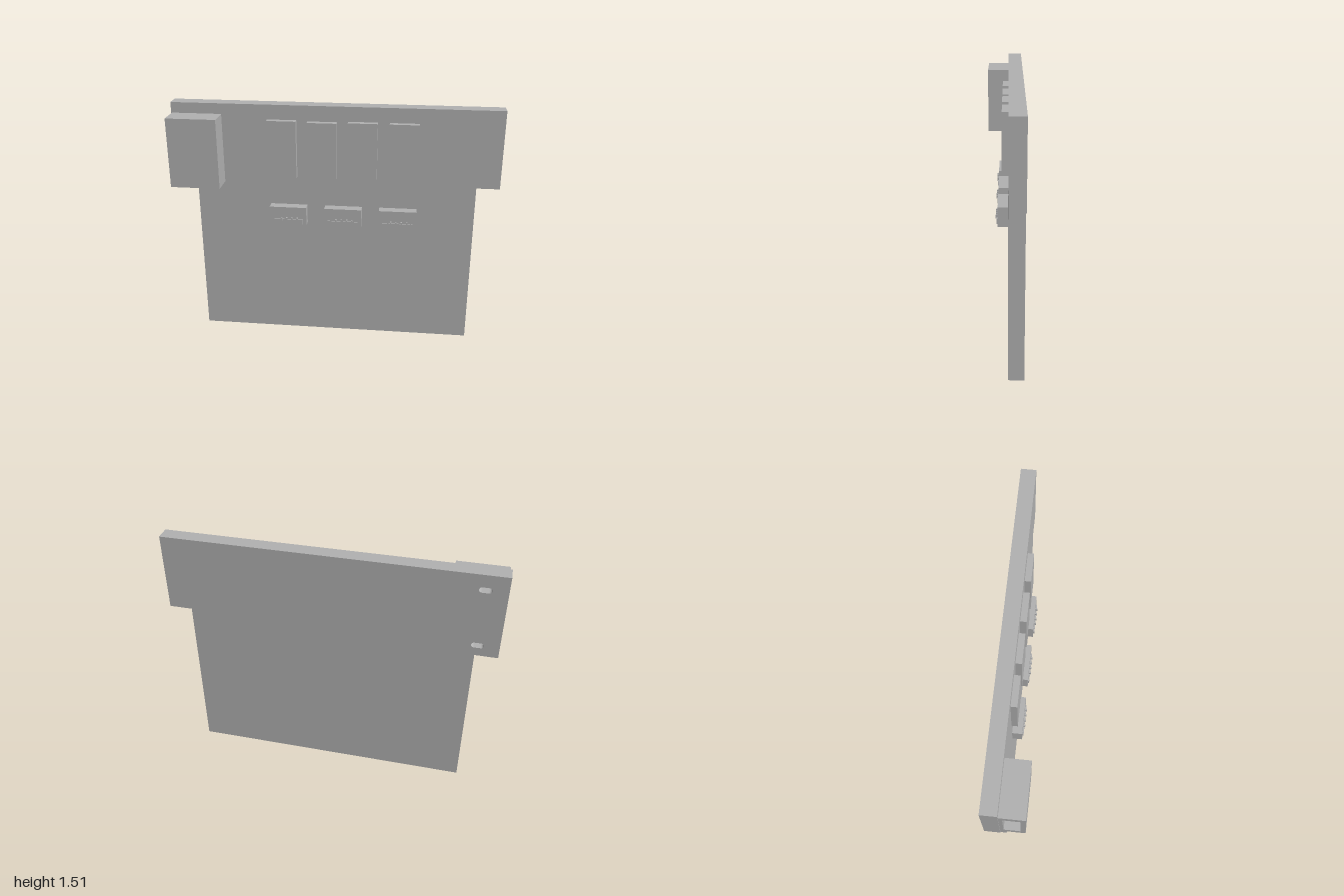
import * as THREE from 'three';

export function createModel() {
  const model = new THREE.Group();
  const grey = new THREE.MeshStandardMaterial({ color: 0xb0b0b0 });
  grey.name = 'plain grey';

  const add = (name, geometry, parent = model) => {
    const mesh = new THREE.Mesh(geometry, grey);
    mesh.name = name;
    parent.add(mesh);
    return mesh;
  };
  // Box given by its limits on each axis
  const block = (name, x0, x1, y0, y1, z0, z1, parent) =>
    add(name, new THREE.BoxGeometry(x1 - x0, y1 - y0, z1 - z0), parent)
      .position.set((x0 + x1) / 2, (y0 + y1) / 2, (z0 + z1) / 2);

  const back = -0.115, face = -0.025;

  // Board: T-shaped plate with two mounting slots
  const outline = new THREE.Shape([
    [-0.865, 0], [0.86, 0], [0.86, 1.035], [1, 1.035],
    [1, 1.515], [-1, 1.515], [-1, 0.98], [-0.865, 0.98],
  ].map(([x, y]) => new THREE.Vector2(x, y)));
  for (const y of [1.05, 1.42]) {
    const slot = new THREE.Path();
    const r = 0.017, half = 0.02, cx = -0.875;
    slot.absarc(cx + half, y, r, -Math.PI / 2, Math.PI / 2);
    slot.absarc(cx - half, y, r, Math.PI / 2, Math.PI * 1.5);
    slot.closePath();
    outline.holes.push(slot);
  }
  const board = new THREE.ExtrudeGeometry(outline, { depth: face - back, bevelEnabled: false, curveSegments: 8 });
  add('board', board).position.z = back;

  // Port housing: hollow box open towards the board's side edge
  const port = new THREE.Group();
  port.name = 'portHousing';
  model.add(port);
  const px0 = -0.995, px1 = -0.69, py0 = 1.02, py1 = 1.45, pz1 = 0.115;
  const rim = new THREE.Shape([
    [-pz1, py0], [-face, py0], [-face, py1], [-pz1, py1],
  ].map(([x, y]) => new THREE.Vector2(x, y)));
  rim.holes.push(new THREE.Path([
    [-0.087, 1.075], [-0.087, 1.395], [0.005, 1.395], [0.005, 1.075],
  ].map(([x, y]) => new THREE.Vector2(x, y))));
  const sleeve = new THREE.ExtrudeGeometry(rim, { depth: px1 - px0 - 0.03, bevelEnabled: false });
  sleeve.rotateY(Math.PI / 2);
  add('portSleeve', sleeve, port).position.x = px0;
  block('portEndWall', px1 - 0.03, px1, py0, py1, face, pz1, port);

  // Row of four flat modules
  [[-0.41, 1.07], [-0.165, 1.065], [0.08, 1.07], [0.327, 1.07]].forEach(([x, y]) =>
    block('module', x, x + 0.178, y, y + 0.355, face, 0.011));

  // Three sockets, each with a raised lip and four contacts
  for (const x of [-0.402, -0.06, 0.278]) {
    const socket = new THREE.Group();
    socket.name = 'socket';
    model.add(socket);
    block('socketBody', x, x + 0.23, 0.767, 0.885, face, 0.034, socket);
    block('socketLip', x + 0.021, x + 0.208, 0.777, 0.807, 0.034, 0.041, socket);
    for (let i = 0; i < 4; i++) {
      const p = x + 0.07 + i * 0.033;
      block('contact', p, p + 0.009, 0.798, 0.819, 0.034, 0.046, socket);
    }
  }
  return model;
}
